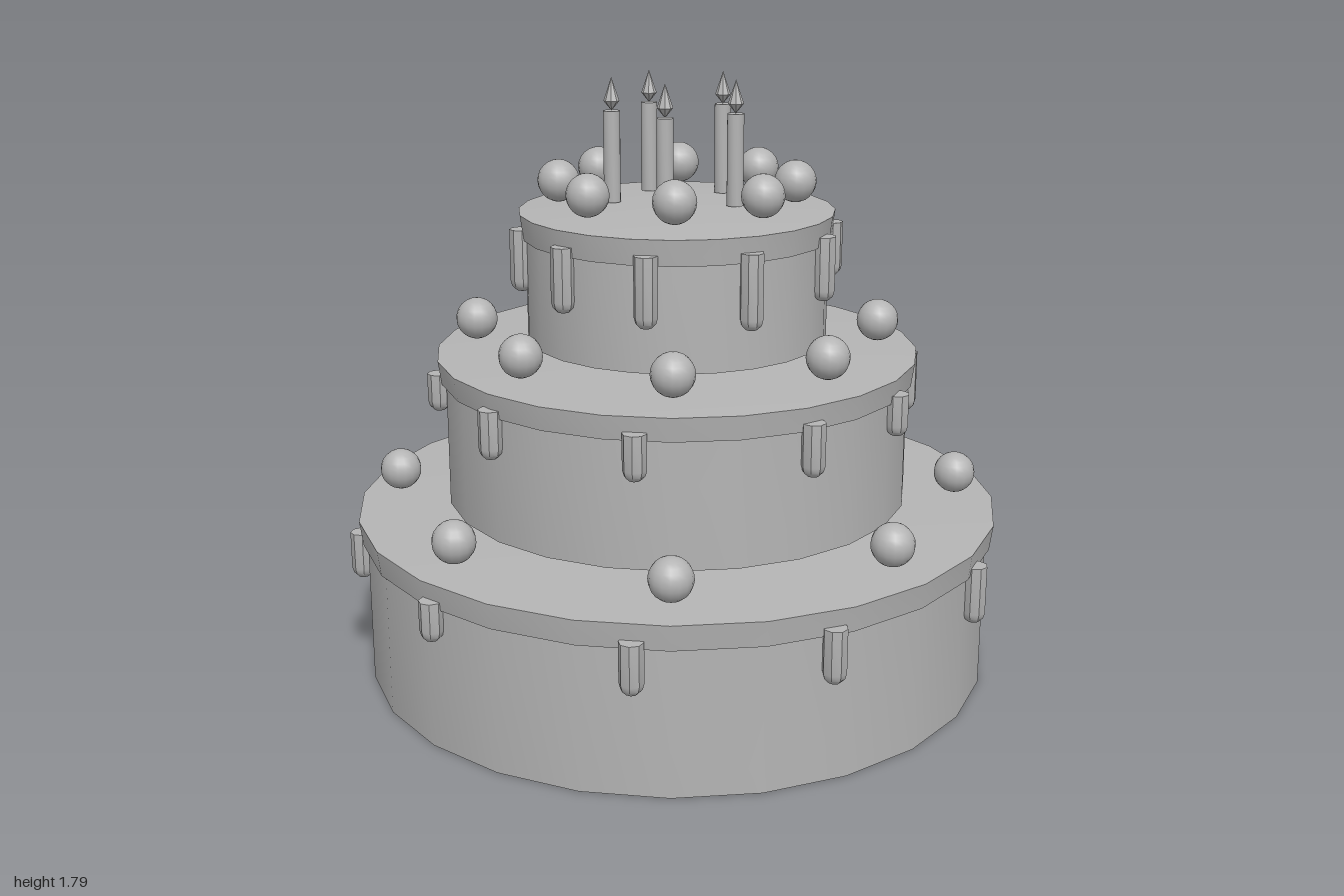
import * as THREE from 'three';
import { toCreasedNormals } from 'three/addons/utils/BufferGeometryUtils.js';

const grey = new THREE.MeshStandardMaterial({ color: 0xb4b4b4 });
grey.name = 'plain grey';

function add(parent, name, geometry, x = 0, y = 0, z = 0) {
  const mesh = new THREE.Mesh(geometry, grey);
  mesh.name = name;
  mesh.position.set(x, y, z);
  parent.add(mesh);
  return mesh;
}

// Lathe from [radius, height] pairs, keeping hard edges sharp
function turned(points, sides) {
  const profile = points.map(([r, y]) => new THREE.Vector2(r, y));
  return toCreasedNormals(new THREE.LatheGeometry(profile, sides), 0.6);
}

// Each drip is [angle in degrees from +x towards +z, height of its lower end]
const tiers = [
  {
    name: 'bottom', base: 0, body: 0.945, lip: 0.968, lipLow: 0.43, lipHigh: 0.505, peak: 0.545,
    dripRadius: 0.96, dripTop: 0.455, berryRadius: 0.85, berryY: 0.585,
    drips: [[-3, 0.25], [34.5, 0.295], [71.6, 0.28], [108.4, 0.295], [141, 0.305],
      [178, 0.335], [213, 0.31], [251, 0.325], [289.5, 0.28], [321.6, 0.25]],
  },
  {
    name: 'middle', base: 0.54, body: 0.695, lip: 0.718, lipLow: 0.91, lipHigh: 0.98, peak: 1.02,
    dripRadius: 0.713, dripTop: 0.935, berryRadius: 0.6, berryY: 1.065,
    drips: [[-0.5, 0.715], [36, 0.75], [73, 0.81], [103, 0.78], [143, 0.80],
      [180, 0.79], [213, 0.82], [248, 0.84], [293, 0.74], [324, 0.825]],
  },
  {
    name: 'top', base: 1.02, body: 0.447, lip: 0.466, lipLow: 1.325, lipHigh: 1.40, peak: 1.437,
    dripRadius: 0.46, dripTop: 1.355, berryRadius: 0.347, berryY: 1.482,
    drips: [[2.5, 1.18], [40, 1.19], [68, 1.165], [107.5, 1.135], [144.6, 1.15],
      [177.5, 1.165], [213.7, 1.17], [245, 1.17], [282.5, 1.15], [329.5, 1.20]],
  },
];

function makeTier(t) {
  const tier = new THREE.Group();
  tier.name = t.name + 'Tier';

  // Sponge and the slightly domed icing lid
  add(tier, 'sponge', turned([[0, t.base], [t.body, t.base], [t.body, t.lipLow + 0.02]], 24));
  add(tier, 'icing', turned([[0, t.lipLow], [t.lip - 0.01, t.lipLow], [t.lip, t.lipHigh], [0, t.peak]], 24));

  // Icing drips with rounded lower ends
  const r = 0.034;
  for (const [degrees, low] of t.drips) {
    const a = THREE.MathUtils.degToRad(degrees);
    const length = t.dripTop - low;
    const drip = add(tier, 'icingDrip', turned([
      [0, 0], [r * 0.5, r * 0.13], [r * 0.87, r * 0.5], [r, r], [r, length], [0, length],
    ], 8), t.dripRadius * Math.cos(a), low, t.dripRadius * Math.sin(a));
    drip.rotation.y = -a;
  }

  // Ring of round decorations
  const ball = new THREE.SphereGeometry(0.062, 16, 12);
  for (let i = 0; i < 8; i++) {
    const a = i * Math.PI / 4;
    add(tier, 'berry', ball, t.berryRadius * Math.cos(a), t.berryY, t.berryRadius * Math.sin(a));
  }
  return tier;
}

export function createModel() {
  const cake = new THREE.Group();
  cake.name = 'cake';
  for (const t of tiers) cake.add(makeTier(t));

  // Candles with pointed flames
  const stick = turned([[0, 1.425], [0.025, 1.425], [0.025, 1.69], [0, 1.69]], 12);
  const flame = turned([[0, 1.69], [0.023, 1.718], [0, 1.786]], 8);
  for (let i = 0; i < 5; i++) {
    const a = i * Math.PI * 2 / 5;
    const candle = new THREE.Group();
    candle.name = 'candle';
    candle.position.set(0.19 * Math.cos(a), 0, 0.19 * Math.sin(a));
    add(candle, 'stick', stick);
    add(candle, 'flame', flame);
    cake.add(candle);
  }
  return cake;
}
